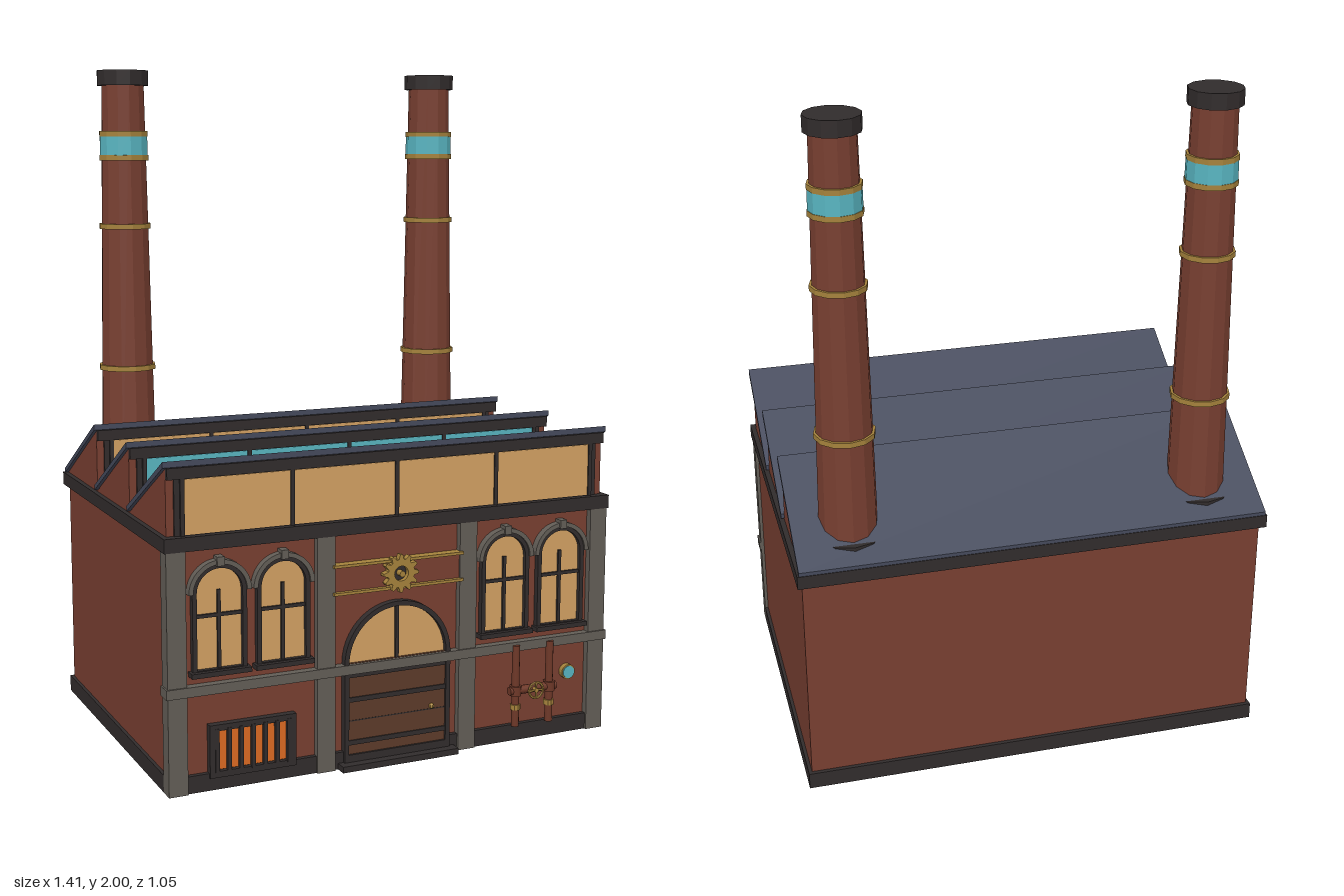
import * as THREE from 'three';

const mat = (name, color) => {
  const m = new THREE.MeshStandardMaterial({ color });
  m.name = name;
  return m;
};

export function createModel() {
  const brick = mat('brick', 0x783f31), slate = mat('slate', 0x454a5c), iron = mat('iron', 0x312c2c),
    stone = mat('stone', 0x625d56), amber = mat('amberGlass', 0xd2a062), teal = mat('tealGlass', 0x58b4c0),
    brass = mat('brass', 0xa5823c), wood = mat('wood', 0x5c3a29), ember = mat('ember', 0xdb6a22),
    copper = mat('copper', 0x6e3828);
  [brick, iron, brass, teal].forEach((m) => { m.flatShading = true; });
  const root = new THREE.Group();
  root.name = 'factory';

  const add = (name, geo, material, x = 0, y = 0, z = 0, parent = root) => {
    const m = new THREE.Mesh(geo, material);
    m.name = name;
    m.position.set(x, y, z);
    parent.add(m);
    return m;
  };
  // Box given by its limits on each axis
  const box = (name, material, x0, x1, y0, y1, z0, z1, parent = root) =>
    add(name, new THREE.BoxGeometry(x1 - x0, y1 - y0, z1 - z0), material,
      (x0 + x1) / 2, (y0 + y1) / 2, (z0 + z1) / 2, parent);
  const extrude = (shape, depth) =>
    new THREE.ExtrudeGeometry(shape, { depth, bevelEnabled: false, curveSegments: 12 });
  const group = (name, x = 0, y = 0, z = 0) => {
    const g = new THREE.Group();
    g.name = name;
    g.position.set(x, y, z);
    root.add(g);
    return g;
  };
  // Round-headed outline of half width r
  const arch = (r, bottom, spring, Type = THREE.Shape) => {
    const s = new Type();
    s.moveTo(-r, bottom);
    s.lineTo(r, bottom);
    s.lineTo(r, spring);
    s.absarc(0, spring, r, 0, Math.PI, false);
    s.lineTo(-r, bottom);
    return s;
  };
  const archFrame = (outer, inner, bottom, sill, spring) => {
    const s = arch(outer, bottom, spring);
    s.holes.push(arch(inner, sill, spring, THREE.Path));
    return s;
  };

  // Walls, plinth and cornice
  const FRONT = 0.466, BACK = -0.508;
  box('walls', brick, -0.69, 0.69, 0, 0.7, BACK, FRONT);
  box('plinthFront', iron, -0.69, 0.69, 0, 0.05, FRONT, 0.48);
  box('plinthBack', iron, -0.7, 0.7, 0, 0.05, -0.52, BACK);
  for (const s of [-1, 1])
    add('plinthSide', new THREE.BoxGeometry(0.01, 0.05, 0.948), iron, s * 0.695, 0.025, -0.034);
  box('cornice', iron, -0.705, 0.705, 0.69, 0.73, -0.53, 0.49);

  // Stone pilasters and string course
  for (const s of [-1, 1]) {
    add('cornerPilaster', new THREE.BoxGeometry(0.056, 0.69, 0.047), stone, s * 0.672, 0.345, 0.4635);
    add('innerPilaster', new THREE.BoxGeometry(0.056, 0.69, 0.03), stone, s * 0.227, 0.345, 0.472);
  }
  box('stringCourse', stone, -0.705, 0.705, 0.281, 0.309, 0.44, 0.492);

  // Sawtooth roof bays with glazed fronts
  const PITCH = 0.325;
  const sideProfile = (pts, width) => {
    const g = extrude(new THREE.Shape(pts.map(([z, y]) => new THREE.Vector2(-z, y))), width);
    return g.rotateY(Math.PI / 2).translate(-width / 2, 0, 0);
  };
  for (let i = 0; i < 3; i++) {
    const bay = group('roofBay', 0, 0, 0.462 - i * PITCH);
    const end = -PITCH - (i === 2 ? 0.055 : 0), low = 0.735 - (i === 2 ? 0.009 : 0);
    add('bayWall', sideProfile([[0, 0.72], [0, 0.918], [-PITCH, 0.733], [-PITCH, 0.72]], 1.38), brick, 0, 0, 0, bay);
    const tail = i === 2 ? -PITCH - 0.015 : end;
    add('roofSlab', sideProfile([[0.008, 0.921], [0.008, 0.938], [tail, low + 0.015], [tail, low]], 1.4),
      slate, 0, 0, 0, bay);
    box('glazingBacking', iron, -0.668, 0.668, 0.73, 0.915, 0, 0.006, bay);
    box('lintel', iron, -0.69, 0.69, 0.888, 0.92, 0, 0.015, bay);
    for (let k = 0; k < 4; k++) {
      const x = -0.4845 + k * 0.323;
      box('roofPane', i === 1 ? teal : amber, x - 0.157, x + 0.157, 0.732, 0.886, 0.005, 0.009, bay);
    }
    for (let k = 0; k < 5; k++) {
      const x = -0.646 + k * 0.323;
      box('glazingBar', iron, x - 0.006, x + 0.006, 0.73, 0.89, 0, 0.013, bay);
    }
  }

  // Chimneys
  const radiusAt = (y) => 0.087 - (y - 0.75) * 0.0175;
  const drum = (r0, r1, h) => new THREE.CylinderGeometry(r1, r0, h, 12);
  for (const s of [-1, 1]) {
    const c = group('chimney', s * 0.53, 0, -0.375);
    add('flashing', drum(0.112, 0.112, 0.055), iron, 0, 0.7485, 0, c);
    add('stack', drum(0.087, 0.066, 1.21), brick, 0, 1.355, 0, c);
    add('cap', drum(0.08, 0.08, 0.046), iron, 0, 1.977, 0, c);
    add('tealBand', drum(0.0755, 0.0745, 0.07), teal, 0, 1.772, 0, c);
    for (const y of [1.085, 1.525, 1.735, 1.808]) {
      const r = radiusAt(y) + 0.0075;
      add('brassHoop', drum(r, r, 0.016), brass, 0, y, 0, c);
    }
  }

  // Upper arched windows
  for (const x of [-0.545, -0.355, 0.355, 0.545]) {
    const w = group('archedWindow', x, 0, FRONT);
    add('pane', extrude(arch(0.07, 0.345, 0.567), 0.004), amber, 0, 0, 0, w);
    add('frame', extrude(archFrame(0.08, 0.067, 0.338, 0.35, 0.567), 0.018), iron, 0, 0, 0, w);
    const hood = new THREE.Shape();
    hood.absarc(0, 0.567, 0.092, 0, Math.PI, false);
    hood.absarc(0, 0.567, 0.079, Math.PI, 0, true);
    add('hood', extrude(hood, 0.024), stone, 0, 0, 0, w);
    box('keystone', stone, -0.011, 0.011, 0.642, 0.668, 0, 0.03, w);
    box('sill', iron, -0.088, 0.088, 0.333, 0.347, 0, 0.032, w);
    box('mullion', iron, -0.005, 0.005, 0.35, 0.572, 0, 0.011, w);
    box('transom', iron, -0.067, 0.067, 0.496, 0.506, 0, 0.011, w);
  }

  // Entrance: arched frame, fanlight, plank doors and step
  const door = group('entrance', 0, 0, FRONT);
  add('doorFrame', extrude(archFrame(0.17, 0.156, 0.01, 0.04, 0.31), 0.022), iron, 0, 0, 0, door);
  const fan = new THREE.Shape();
  fan.absarc(0, 0.31, 0.157, 0, Math.PI, false);
  add('fanlight', extrude(fan, 0.006), amber, 0, 0, 0, door);
  box('fanlightBar', iron, -0.005, 0.005, 0.31, 0.468, 0, 0.014, door);
  box('doorPanel', wood, -0.157, 0.157, 0.02, 0.31, 0, 0.015, door);
  for (const y of [0.075, 0.203, 0.276])
    box('doorStrap', iron, -0.157, 0.157, y - 0.007, y + 0.007, 0, 0.019, door);
  box('plankSeam', iron, -0.157, 0.157, 0.138, 0.141, 0, 0.016, door);
  add('doorKnob', new THREE.SphereGeometry(0.008, 8, 6), brass, 0.11, 0.15, 0.02, door);
  box('doorStep', iron, -0.187, 0.187, 0, 0.018, FRONT, 0.515);

  // Brass rails and cog above the entrance
  box('signPanel', brick, -0.2, 0.2, 0.522, 0.602, FRONT, 0.482);
  for (const y of [0.522, 0.602])
    box('brassRail', brass, -0.207, 0.207, y - 0.004, y + 0.004, FRONT, 0.496);
  const cog = new THREE.Shape();
  const TEETH = 12;
  for (let i = 0; i < TEETH * 4; i++) {
    const a = ((i - 0.5) / (TEETH * 4)) * Math.PI * 2, r = i % 4 < 2 ? 0.056 : 0.042;
    cog[i ? 'lineTo' : 'moveTo'](Math.cos(a) * r, Math.sin(a) * r);
  }
  const bore = new THREE.Path();
  bore.absarc(0, 0, 0.022, 0, Math.PI * 2, true);
  cog.holes.push(bore);
  add('cog', extrude(cog, 0.02), brass, 0, 0.565, 0.485);
  const disc = (r, h, n = 12) => new THREE.CylinderGeometry(r, r, h, n).rotateX(Math.PI / 2);
  add('cogBore', disc(0.024, 0.01), iron, 0, 0.565, 0.485);
  add('cogHub', disc(0.009, 0.03), brass, 0, 0.565, 0.498);

  // Furnace grate
  const grate = group('furnaceGrate', -0.45, 0, FRONT);
  box('grateBacking', iron, -0.125, 0.125, 0.042, 0.188, 0, 0.008, grate);
  box('emberGlow', ember, -0.105, 0.105, 0.057, 0.168, 0, 0.012, grate);
  for (const y of [0.046, 0.181]) box('grateRail', iron, -0.13, 0.13, y - 0.009, y + 0.009, 0, 0.022, grate);
  for (const x of [-0.119, 0.119]) box('grateStile', iron, x - 0.011, x + 0.011, 0.04, 0.188, 0, 0.022, grate);
  for (let i = 0; i < 7; i++) {
    const x = -0.108 + i * 0.036;
    box('grateBar', iron, x - 0.006, x + 0.006, 0.05, 0.178, 0, 0.024, grate);
  }

  // Pipework with valve wheel and gauge
  const pipes = group('pipework', 0.448, 0, 0.492);
  const tube = (r, h) => new THREE.CylinderGeometry(r, r, h, 10);
  for (const x of [-0.058, 0.058]) {
    add('verticalPipe', tube(0.012, 0.25), copper, x, 0.175, 0, pipes);
    add('pipeCollar', tube(0.016, 0.016), brass, x, 0.11, 0, pipes);
    add('pipeFlange', tube(0.018, 0.03), copper, x, 0.16, 0, pipes);
  }
  add('crossPipe', tube(0.013, 0.16).rotateZ(Math.PI / 2), copper, 0, 0.16, 0, pipes);
  add('valveWheel', new THREE.TorusGeometry(0.024, 0.004, 6, 14), brass, 0, 0.16, 0.023, pipes);
  add('valveStem', disc(0.007, 0.03), brass, 0, 0.16, 0.012, pipes);
  for (const a of [0, Math.PI / 2])
    add('valveSpoke', new THREE.BoxGeometry(0.048, 0.005, 0.004), brass, 0, 0.16, 0.023, pipes).rotation.z = a;
  add('gaugeRim', disc(0.023, 0.018, 16), brass, 0.58, 0.19, 0.474);
  add('gaugeFace', disc(0.019, 0.006, 16), teal, 0.58, 0.19, 0.483);

  return root;
}
